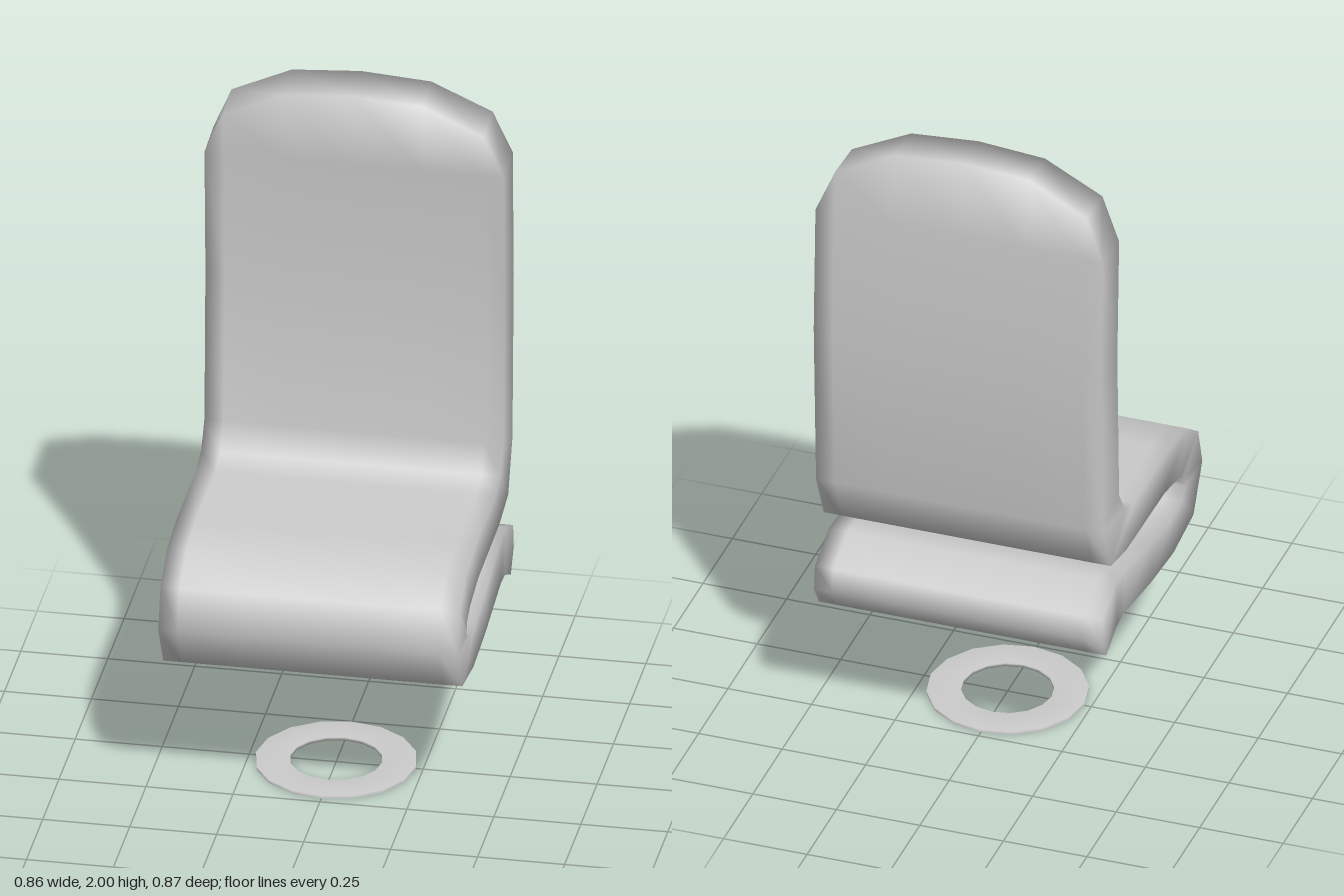
import * as THREE from 'three';
import { mergeVertices } from 'three/addons/utils/BufferGeometryUtils.js';

// Side profile as [z, y] stations from the top of the back to the rear lip.
const padFace = [
  [-0.25, 1.99], [-0.275, 1.76], [-0.29, 1.38], [-0.275, 0.91], [-0.225, 0.835], [-0.15, 0.81],
  [0.15, 0.81], [0.3, 0.79], [0.4, 0.72], [0.435, 0.6], [0.36, 0.465], [0.19, 0.44],
  [0, 0.455], [-0.23, 0.49], [-0.295, 0.485], [-0.385, 0.44],
];
const backFace = [
  [-0.39, 2.0], [-0.415, 1.77], [-0.43, 1.38], [-0.41, 0.865], [-0.345, 0.715], [-0.21, 0.69],
  [0.115, 0.685], [0.24, 0.66], [0.285, 0.635], [0.295, 0.6], [0.26, 0.57], [0.165, 0.56],
  [0, 0.585], [-0.23, 0.63], [-0.3, 0.635], [-0.42, 0.58],
];
const lipTip = [-0.43, 0.51];

// Columns across the width: [x, share of the rounded top reached there].
const half = [[0.43, 0], [0.375, 0.57], [0.2, 0.935]];
const columns = [...half.map(([x, t]) => [-x, t]), [0, 1], ...[...half].reverse()];

function seatGeometry() {
  const n = padFace.length;
  const loop = [...padFace, lipTip, ...[...backFace].reverse()];
  const m = loop.length;
  const positions = [];
  const index = [];
  const quad = (a, b, c, d) => index.push(a, b, c, a, c, d);

  // One closed section per column, its top lowered towards the sides
  for (const [x, t] of columns) {
    loop.forEach(([z, y], i) => {
      const below = i === 0 ? loop[1] : i === m - 1 ? loop[m - 2] : null;
      if (below) {
        z = THREE.MathUtils.lerp(below[0], z, t);
        y = THREE.MathUtils.lerp(below[1], y, t);
      }
      positions.push(x, y, z);
    });
  }

  // Skin between neighbouring sections
  for (let c = 0; c < columns.length - 1; c++) {
    for (let i = 0; i < m; i++) {
      const j = (i + 1) % m;
      quad(c * m + i, c * m + j, (c + 1) * m + j, (c + 1) * m + i);
    }
  }

  // Side walls, joining the two faces station by station
  const right = (columns.length - 1) * m;
  for (let i = 0; i < n - 1; i++) {
    const k = m - 1 - i;
    quad(right + i, right + i + 1, right + k - 1, right + k);
    quad(k, k - 1, i + 1, i);
  }
  index.push(right + n - 1, right + n, right + n + 1, n + 1, n, n - 1);

  const geometry = new THREE.BufferGeometry();
  geometry.setAttribute('position', new THREE.Float32BufferAttribute(positions, 3));
  geometry.setIndex(index);
  const merged = mergeVertices(geometry, 1e-4);
  merged.computeVertexNormals();
  return merged;
}

export function createModel() {
  const group = new THREE.Group();
  const material = new THREE.MeshStandardMaterial({ color: 0xcccccc });

  // Folded padded seat and backrest
  const seat = new THREE.Mesh(seatGeometry(), material);
  seat.name = 'foldedSeat';
  group.add(seat);

  // Flat floor ring
  const section = [[0.23, 0], [0.23, 0.01], [0.132, 0.01], [0.132, 0], [0.23, 0]];
  const ring = new THREE.Mesh(
    new THREE.LatheGeometry(section.map(([r, y]) => new THREE.Vector2(r, y)), 16),
    material
  );
  ring.name = 'floorRing';
  group.add(ring);

  return group;
}
